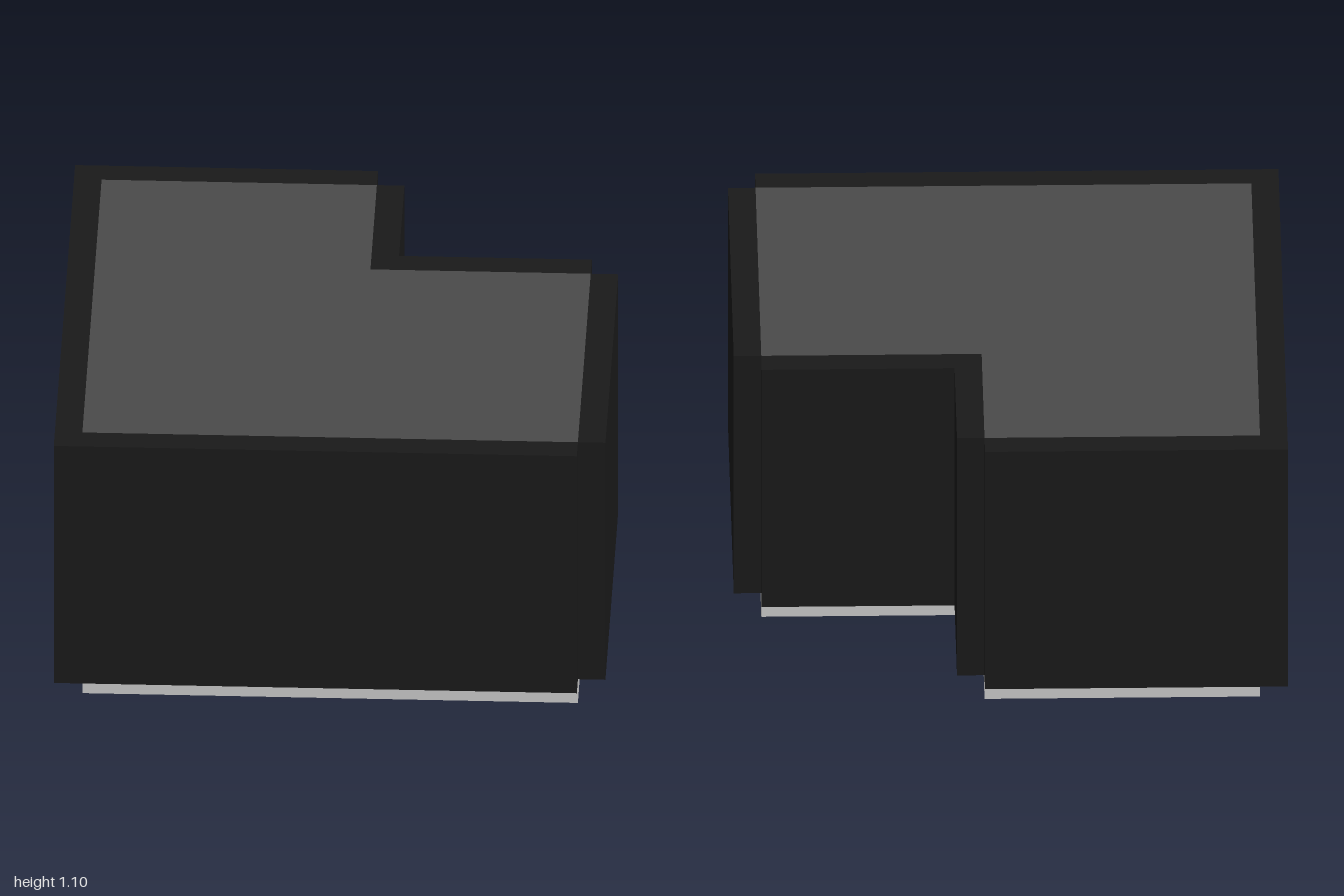
import * as THREE from 'three';

const paint = (color) => new THREE.MeshStandardMaterial({ color });

// L-shaped plan, corners given as [x, z]
const PLAN = [[-0.9, 0.9], [0.9, 0.9], [0.9, -0.3], [0.1, -0.3], [0.1, -0.9], [-0.9, -0.9]];

// Flat slab of the plan between two heights
function slab(name, y0, y1, material) {
  const shape = new THREE.Shape(PLAN.map(([x, z]) => new THREE.Vector2(x, -z)));
  const geometry = new THREE.ExtrudeGeometry(shape, { depth: y1 - y0, bevelEnabled: false });
  geometry.rotateX(-Math.PI / 2);
  const mesh = new THREE.Mesh(geometry, material);
  mesh.name = name;
  mesh.position.y = y0;
  return mesh;
}

// Upright wall panel covering an x and z range
function wall(name, x0, x1, z0, z1, material) {
  const mesh = new THREE.Mesh(new THREE.BoxGeometry(x1 - x0, 1, z1 - z0), material);
  mesh.name = name;
  mesh.position.set((x0 + x1) / 2, 0.6, (z0 + z1) / 2);
  return mesh;
}

export function createModel() {
  const model = new THREE.Group();
  model.name = 'lShapedBuilding';

  // Pale floor below, dark grey roof flush with the wall tops
  model.add(slab('floor', 0, 0.1, paint(0xcccccc)));
  model.add(slab('roof', 0.1, 1.1, paint(0x4a4a4a)));

  // Thin panels around the outline, overlapping only at the two -x corners
  const black = paint(0x1a1a1a);
  const walls = new THREE.Group();
  walls.name = 'walls';
  [
    ['frontWall', -0.9, 0.9, 0.9, 1],
    ['leftWall', 0.9, 1, -0.3, 0.9],
    ['notchBackWall', 0.1, 0.9, -0.4, -0.3],
    ['notchSideWall', 0.1, 0.2, -0.9, -0.4],
    ['backWall', -0.9, 0.1, -1, -0.9],
    ['rightWall', -1, -0.9, -1, 1],
  ].forEach(([name, x0, x1, z0, z1]) => walls.add(wall(name, x0, x1, z0, z1, black)));
  model.add(walls);

  return model;
}
